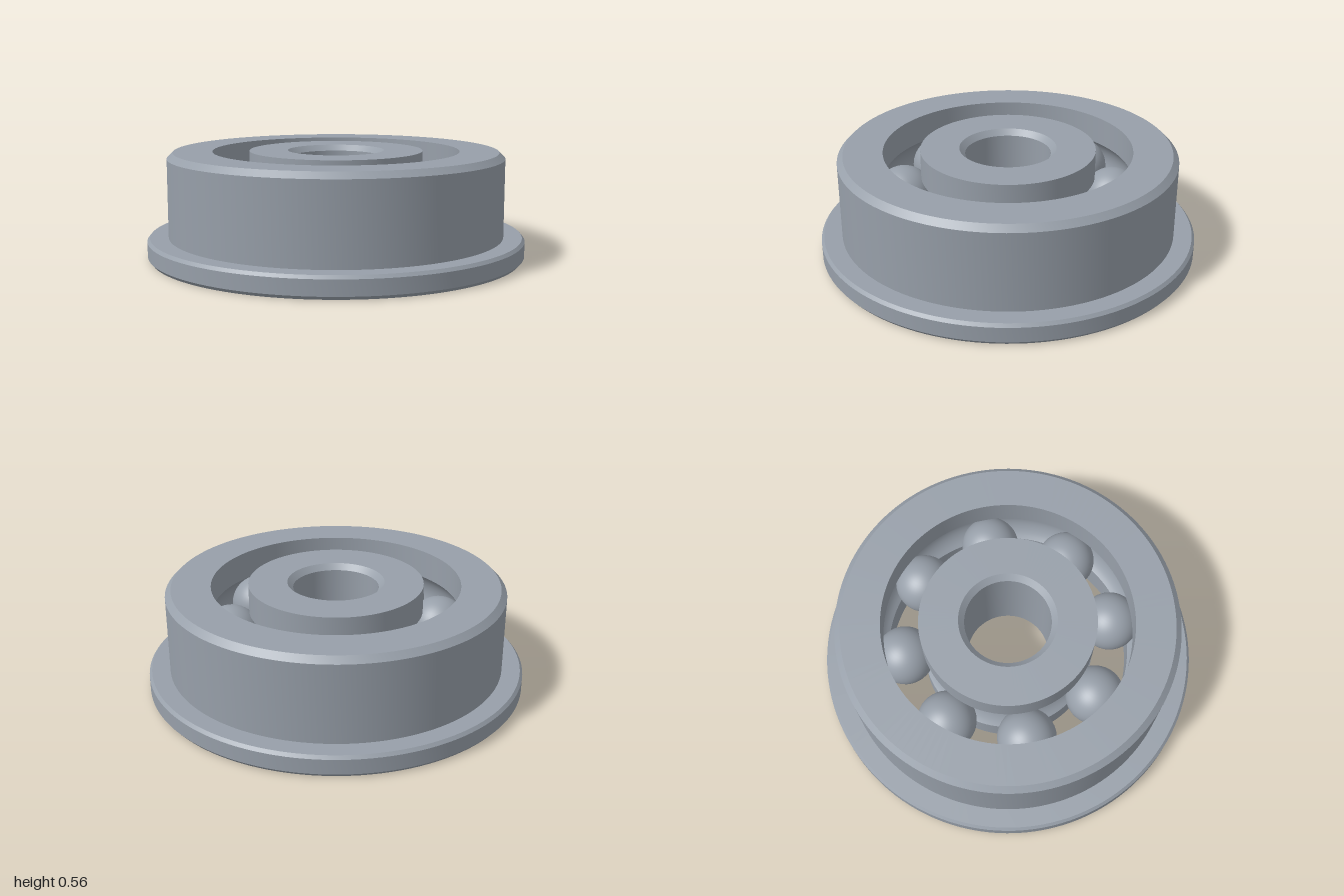
import * as THREE from 'three';
import { toCreasedNormals } from 'three/addons/utils/BufferGeometryUtils.js';

const HEIGHT = 0.556;
const MID = HEIGHT / 2;
const PITCH = 0.556;        // radius of the circle of balls
const BALL_RADIUS = 0.155;
const GROOVE_RADIUS = 0.158;
const BALL_COUNT = 8;

// Arc of the ball track where it cuts a cylindrical wall of radius wallR.
// dir = 1 runs upwards, dir = -1 runs downwards.
function groove(wallR, dir) {
  const offset = wallR - PITCH;
  const side = Math.sign(offset);
  const half = Math.acos(Math.abs(offset) / GROOVE_RADIUS);
  const points = [];
  for (let i = 0; i <= 14; i++) {
    const a = dir * half * (i / 7 - 1);
    points.push([PITCH + side * GROOVE_RADIUS * Math.cos(a), MID + GROOVE_RADIUS * Math.sin(a)]);
  }
  return points;
}

// Revolves a closed counter-clockwise [radius, height] profile, keeping edges sharp.
function ring(name, profile, material) {
  const points = [...profile, profile[0]].map(([r, y]) => new THREE.Vector2(r, y));
  const geometry = toCreasedNormals(new THREE.LatheGeometry(points, 128), Math.PI / 7);
  const mesh = new THREE.Mesh(geometry, material);
  mesh.name = name;
  return mesh;
}

export function createModel() {
  const model = new THREE.Group();
  model.name = 'flangedBallBearing';
  const steel = new THREE.MeshStandardMaterial({ color: 0x979fa9 });
  steel.name = 'steel';

  // Outer race with chamfered flange at the foot
  model.add(ring('outerRace', [
    [0.653, 0], [0.986, 0], [1, 0.017], [1, 0.096], [0.986, 0.112],
    [0.89, 0.112], [0.89, 0.525], [0.859, HEIGHT], [0.653, HEIGHT],
    ...groove(0.653, -1),
  ], steel));

  // Inner race with chamfered bore
  model.add(ring('innerRace', [
    [0.255, 0], [0.459, 0], ...groove(0.459, 1), [0.459, HEIGHT], [0.255, HEIGHT],
    [0.225, HEIGHT - 0.03], [0.225, 0.03],
  ], steel));

  // Balls running between the races
  const balls = new THREE.Group();
  balls.name = 'balls';
  const ballGeometry = new THREE.SphereGeometry(BALL_RADIUS, 40, 28);
  for (let i = 0; i < BALL_COUNT; i++) {
    const a = THREE.MathUtils.degToRad(12) + (i / BALL_COUNT) * Math.PI * 2;
    const ball = new THREE.Mesh(ballGeometry, steel);
    ball.name = 'ball';
    ball.position.set(PITCH * Math.cos(a), MID, PITCH * Math.sin(a));
    balls.add(ball);
  }
  model.add(balls);

  return model;
}
